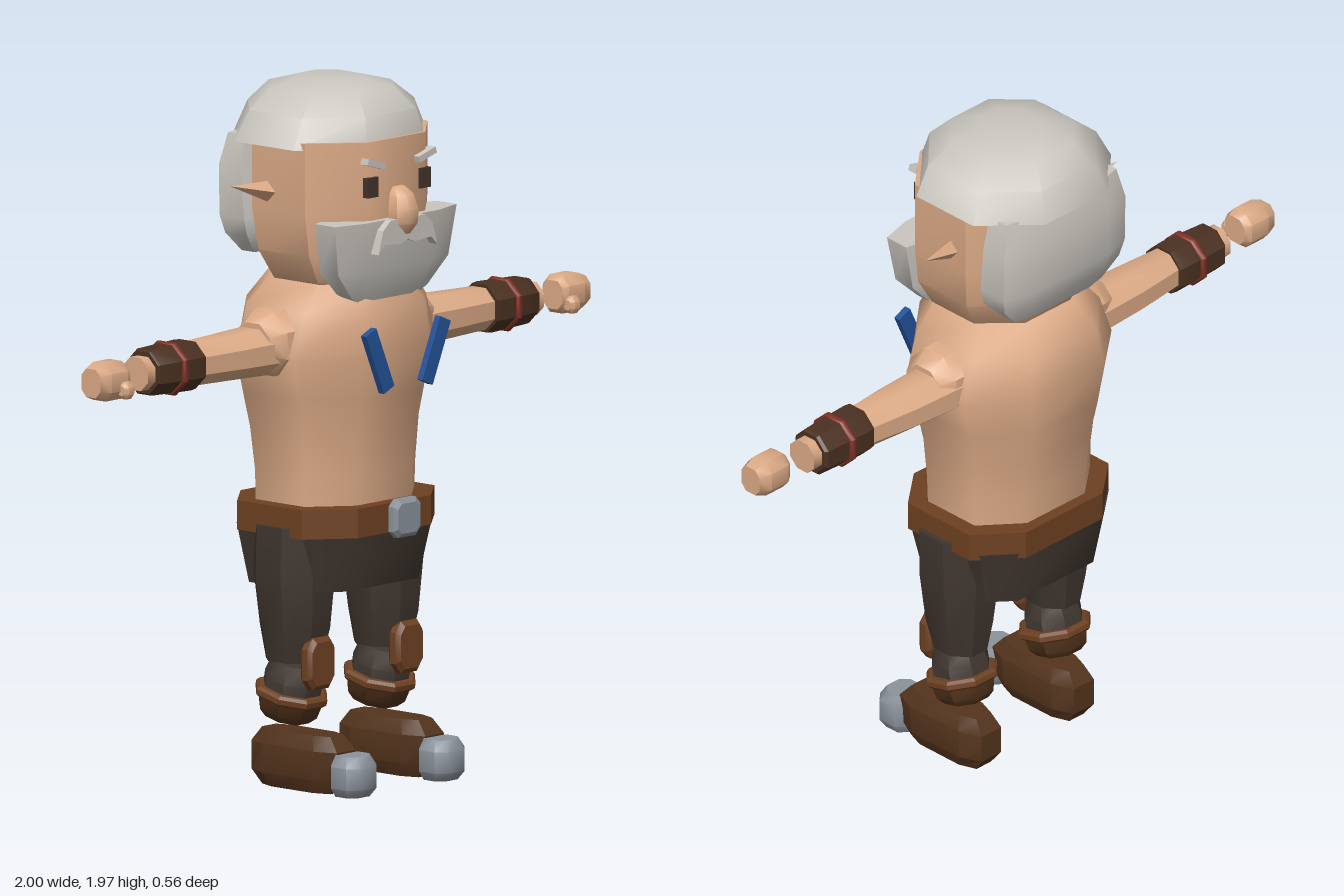
import * as THREE from 'three';
import { toCreasedNormals } from 'three/addons/utils/BufferGeometryUtils.js';

const mat = (name, color) => {
  const m = new THREE.MeshStandardMaterial({ color });
  m.name = name;
  return m;
};

// Closed loft of eight-sided rings [y, halfWidth, zMin, zMax]; c sets how square the section is.
function loft(rings, c = 0.42, crease = 0.75) {
  const pos = [];
  const pts = rings.map(([y, w, z0, z1]) => {
    const m = (z0 + z1) / 2, d = (z1 - z0) / 2;
    return [[1, -c], [1, c], [c, 1], [-c, 1], [-1, c], [-1, -c], [-c, -1], [c, -1]]
      .map(([x, z]) => [x * w, y, m + z * d]);
  });
  const tri = (...v) => v.forEach(p => pos.push(...p));
  for (let r = 0; r < pts.length - 1; r++) {
    const b = pts[r], t = pts[r + 1];
    for (let i = 0; i < 8; i++) {
      const j = (i + 1) % 8;
      tri(b[j], b[i], t[i]);
      tri(b[j], t[i], t[j]);
    }
  }
  const mid = ([y, , z0, z1]) => [0, y, (z0 + z1) / 2];
  const lo = mid(rings[0]), hi = mid(rings[rings.length - 1]), top = pts[pts.length - 1];
  for (let i = 0; i < 8; i++) {
    const j = (i + 1) % 8;
    tri(lo, pts[0][i], pts[0][j]);
    tri(hi, top[j], top[i]);
  }
  const g = new THREE.BufferGeometry();
  g.setAttribute('position', new THREE.Float32BufferAttribute(pos, 3));
  return toCreasedNormals(g, crease);
}

export function createModel() {
  const model = new THREE.Group();
  const skin = mat('skin', 0xdcaa86), hair = mat('greyHair', 0xcac6bf);
  const trousers = mat('trousers', 0x40362f), leather = mat('leather', 0x6e4122);
  const boot = mat('bootLeather', 0x54341d), bracerMat = mat('bracerLeather', 0x4a3121);
  const red = mat('redCord', 0x7f2f24), blue = mat('blueCloth', 0x24529a);
  const metal = mat('metal', 0x8a929b), dark = mat('eyeBrown', 0x42342c);

  const add = (name, geo, m, x = 0, y = 0, z = 0, parent = model) => {
    const mesh = new THREE.Mesh(geo, m);
    mesh.name = name;
    mesh.position.set(x, y, z);
    parent.add(mesh);
    return mesh;
  };

  // Head and hair
  add('head', loft([[1.36, 0.14, -0.13, 0.14], [1.42, 0.19, -0.17, 0.19], [1.5, 0.235, -0.2, 0.212],
    [1.62, 0.25, -0.215, 0.215], [1.82, 0.25, -0.215, 0.215]], 0.46), skin);
  add('hairCap', loft([[1.8, 0.268, -0.283, 0.21], [1.885, 0.228, -0.25, 0.19],
    [1.942, 0.16, -0.2, 0.135], [1.965, 0.075, -0.12, 0.055]], 0.45), hair);
  add('backHair', loft([[1.475, 0.17, -0.225, -0.15], [1.53, 0.222, -0.25, -0.118], [1.58, 0.235, -0.262, -0.115],
    [1.72, 0.235, -0.262, -0.13], [1.81, 0.215, -0.24, -0.14]], 0.62), hair);
  add('beard', loft([[1.34, 0.07, 0.15, 0.185], [1.385, 0.155, 0.12, 0.202], [1.46, 0.225, 0.11, 0.222],
    [1.6, 0.248, 0.11, 0.235]], 0.6), hair);
  add('nose', loft([[1.555, 0.022, 0.21, 0.255], [1.585, 0.042, 0.2, 0.275], [1.625, 0.044, 0.2, 0.278],
    [1.665, 0.034, 0.2, 0.262], [1.685, 0.018, 0.2, 0.235]]), skin);

  // Moustache
  const m = new THREE.Shape([[-0.12, 1.51], [-0.095, 1.535], [-0.03, 1.53], [0, 1.54], [0.03, 1.53], [0.095, 1.535],
    [0.12, 1.51], [0.1, 1.575], [0.07, 1.6], [0, 1.6], [-0.07, 1.6], [-0.1, 1.575]]
    .map(p => new THREE.Vector2(...p)));
  add('moustache', new THREE.ExtrudeGeometry(m, { depth: 0.04, bevelEnabled: false }), hair, 0, 0, 0.215);

  // Torso, belt and hips
  add('torso', loft([[0.72, 0.222, -0.2, 0.163], [0.88, 0.226, -0.202, 0.168], [1.0, 0.236, -0.218, 0.178],
    [1.1, 0.255, -0.236, 0.195], [1.22, 0.284, -0.248, 0.212], [1.34, 0.245, -0.236, 0.208],
    [1.42, 0.185, -0.18, 0.18]], 0.5, 1), skin);
  add('belt', loft([[0.715, 0.27, -0.235, 0.205], [0.797, 0.27, -0.235, 0.205]], 0.55, 0.3), leather);
  const buckle = add('buckle', loft([[-0.018, 0.045, -0.042, 0.042], [-0.008, 0.056, -0.054, 0.054],
    [0.008, 0.056, -0.054, 0.054], [0.018, 0.045, -0.042, 0.042]], 0.65, 0.4), metal, 0, 0.76, 0.242);
  buckle.rotation.x = Math.PI / 2;
  add('hips', loft([[0.56, 0.215, -0.2, 0.16], [0.73, 0.25, -0.222, 0.187]], 0.68), trousers);

  for (const s of [1, -1]) {
    // Face details
    add('eye', new THREE.BoxGeometry(0.042, 0.056, 0.02), dark, s * 0.107, 1.694, 0.214);
    const brow = add('eyebrow', new THREE.BoxGeometry(0.072, 0.018, 0.028), hair, s * 0.104, 1.76, 0.22);
    brow.rotation.z = s * 0.28;
    const ear = add('ear', toCreasedNormals(new THREE.ConeGeometry(0.033, 0.15, 4), 0.3), skin,
      s * 0.302, 1.683, -0.052);
    ear.rotation.set(0, s * 0.2, -s * (Math.PI / 2 - 0.2));

    // Chest straps
    const strap = add('chestStrap', new THREE.BoxGeometry(0.046, 0.185, 0.02), blue, s * 0.115, 1.213, 0.247);
    strap.rotation.z = -s * 0.41;

    // Arm, built along y and laid outward
    const arm = new THREE.Group();
    arm.name = s > 0 ? 'leftArm' : 'rightArm';
    arm.position.y = 1.235;
    arm.rotation.z = -s * Math.PI / 2;
    model.add(arm);
    add('shoulder', loft([[0.18, 0.09, -0.11, 0.075], [0.29, 0.09, -0.105, 0.07], [0.335, 0.06, -0.085, 0.045]]),
      skin, -s * 0.02, 0, 0, arm);
    add('sleevelessArm', loft([[0.25, 0.068, -0.11, 0.055], [0.44, 0.062, -0.1, 0.048], [0.6, 0.058, -0.082, 0.035]]),
      skin, 0, 0, 0, arm);
    add('bracer', loft([[0.595, 0.066, -0.09, 0.045], [0.615, 0.068, -0.094, 0.048], [0.68, 0.066, -0.092, 0.045],
      [0.77, 0.063, -0.088, 0.038], [0.778, 0.058, -0.08, 0.034]], 0.42, 0.5), bracerMat, 0, 0, 0, arm);
    add('bracerCord', loft([[0.67, 0.069, -0.096, 0.049], [0.676, 0.073, -0.1, 0.053], [0.686, 0.073, -0.1, 0.053],
      [0.692, 0.069, -0.096, 0.049]]), red, 0, 0, 0, arm);
    add('wrist', loft([[0.75, 0.046, -0.07, 0.024], [0.808, 0.046, -0.07, 0.024]], 0.42, 0.8), skin, 0, 0, 0, arm);
    add('hand', loft([[0.882, 0.04, -0.05, 0.025], [0.9, 0.053, -0.062, 0.032], [0.965, 0.053, -0.062, 0.032],
      [1.0, 0.04, -0.05, 0.022]], 0.5), skin, 0, 0, 0, arm);
    add('thumb', loft([[0.89, 0.014, 0.022, 0.048], [0.9, 0.024, 0.02, 0.055], [0.92, 0.024, 0.02, 0.055],
      [0.93, 0.014, 0.022, 0.048]]), skin, s * 0.025, 0, 0, arm);

    // Leg
    const leg = new THREE.Group();
    leg.name = s > 0 ? 'leftLeg' : 'rightLeg';
    leg.position.x = s * 0.18;
    model.add(leg);
    add('thigh', loft([[0.355, 0.068, -0.085, 0.07], [0.45, 0.088, -0.1, 0.095], [0.6, 0.108, -0.116, 0.106],
      [0.74, 0.106, -0.112, 0.11]]), trousers, 0, 0, 0, leg);
    const knee = add('kneePad', loft([[-0.022, 0.045, -0.06, 0.06], [-0.01, 0.054, -0.073, 0.073],
      [0.01, 0.054, -0.073, 0.073], [0.022, 0.045, -0.06, 0.06]], 0.6, 0.5), leather, 0, 0.356, 0.083, leg);
    knee.rotation.x = Math.PI / 2;

    // Shin and boot cuff lean together
    const shin = new THREE.Group();
    shin.name = 'lowerLeg';
    shin.position.set(0, 0.245, -0.02);
    shin.rotation.x = 0.25;
    leg.add(shin);
    add('shin', loft([[-0.02, 0.074, -0.078, 0.078], [0.06, 0.076, -0.082, 0.078], [0.11, 0.062, -0.07, 0.06]]),
      trousers, 0, 0, 0, shin);
    add('bootCuff', loft([[-0.055, 0.06, -0.062, 0.062], [-0.035, 0.078, -0.08, 0.08], [0.02, 0.09, -0.09, 0.09]]),
      boot, 0, 0, 0, shin);
    add('cuffRim', loft([[0.002, 0.09, -0.09, 0.09], [0.01, 0.098, -0.098, 0.098], [0.024, 0.098, -0.098, 0.098],
      [0.032, 0.09, -0.09, 0.09]], 0.42, 0.5), leather, 0, 0, 0, shin);

    // Foot
    add('boot', loft([[0, 0.046, -0.1, 0.155], [0.04, 0.064, -0.13, 0.18], [0.12, 0.064, -0.13, 0.19],
      [0.16, 0.046, -0.1, 0.155]], 0.6, 0.5), boot, 0, 0, 0, leg);
    add('toeCap', loft([[0, 0.046, 0.17, 0.255], [0.025, 0.062, 0.16, 0.274], [0.085, 0.062, 0.16, 0.274],
      [0.115, 0.046, 0.17, 0.255]], 0.5, 0.9), metal, 0, 0, 0, leg);
  }
  return model;
}
